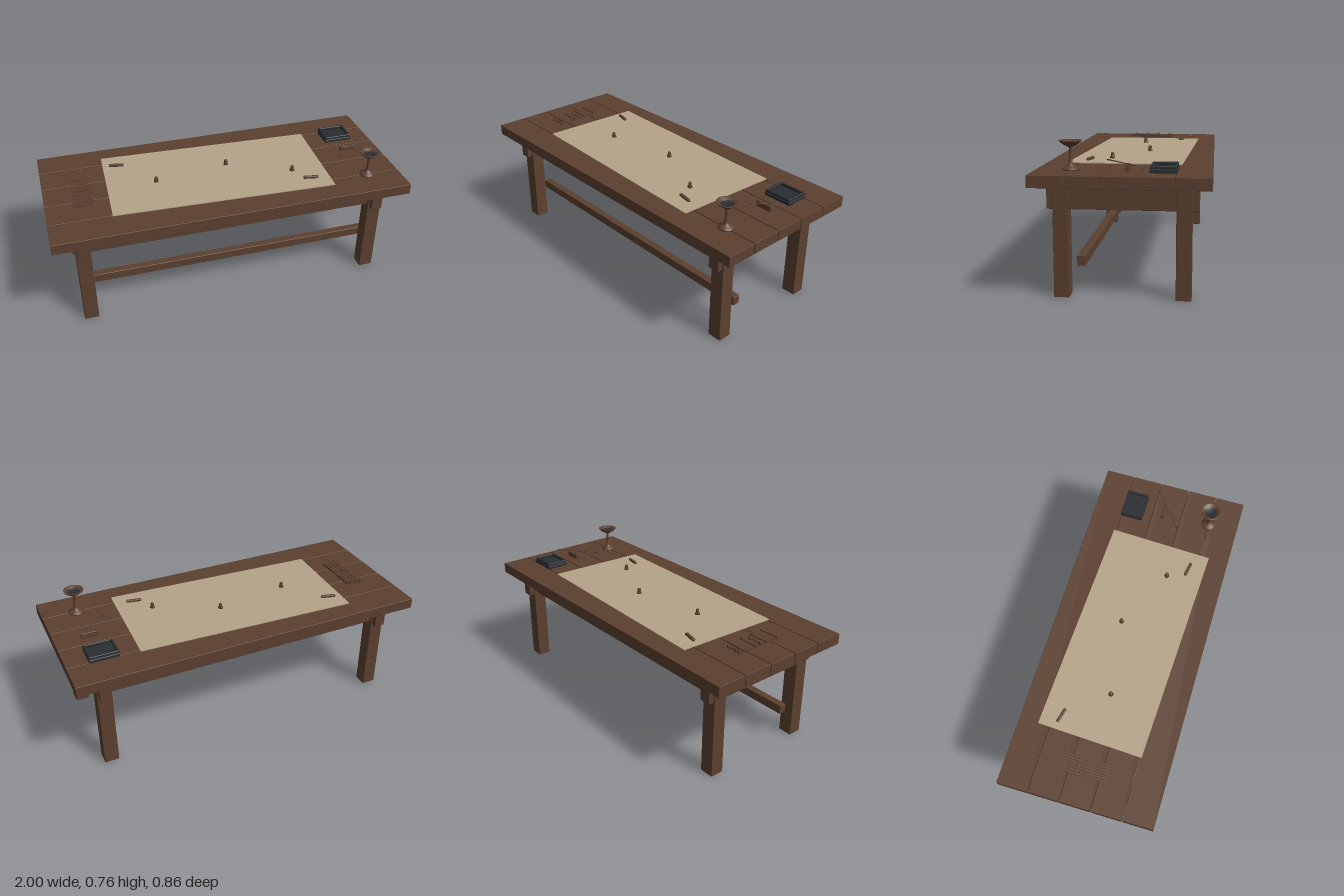
import * as THREE from 'three';
import { RoundedBoxGeometry } from 'three/addons/geometries/RoundedBoxGeometry.js';

const mat = (name, color) => {
  const m = new THREE.MeshStandardMaterial({ color });
  m.name = name;
  return m;
};

export function createModel() {
  const root = new THREE.Group();
  root.name = 'writingTable';
  const wood = mat('brownWood', 0x5c4030);
  const paper = mat('parchment', 0xb5a488);
  const slate = mat('darkSlate', 0x2b2e31);

  const add = (name, geo, material, x = 0, y = 0, z = 0, parent = root) => {
    const m = new THREE.Mesh(geo, material);
    m.name = name;
    m.position.set(x, y, z);
    parent.add(m);
    return m;
  };
  // Box given by its lower and upper corners, with slightly eased edges
  const block = (name, a, b, material = wood, r = 0.003, parent = root) => add(
    name, new RoundedBoxGeometry(b[0] - a[0], b[1] - a[1], b[2] - a[2], 1, r), material,
    (a[0] + b[0]) / 2, (a[1] + b[1]) / 2, (a[2] + b[2]) / 2, parent);
  const group = (name, x, y, z) => {
    const g = new THREE.Group();
    g.name = name;
    g.position.set(x, y, z);
    root.add(g);
    return g;
  };
  const lathe = (pts, n = 24) => new THREE.LatheGeometry(pts.map(p => new THREE.Vector2(...p)), n);

  // Table top of five planks with narrow gaps
  const top = 0.62, pitch = 0.1725, half = 0.084;
  for (let i = -2; i <= 2; i++) {
    block('topPlank', [-1, 0.56, i * pitch - half], [1, top, i * pitch + half], wood, 0.002);
  }

  // Legs, end aprons and long aprons
  for (const s of [-1, 1]) {
    for (const t of [-1, 1]) {
      const leg = block('leg', [-0.04, 0, -0.038], [0.04, 0.56, 0.038]);
      leg.position.x = s * 0.84;
      leg.position.z = t * 0.297;
    }
    const end = block('endApron', [-0.032, 0.438, -0.365], [0.032, 0.56, 0.365]);
    end.position.x = s * 0.84;
    const side = block('longApron', [-0.82, 0.455, -0.02], [0.82, 0.56, 0.02]);
    side.position.z = s * 0.3;
  }
  block('stretcher', [-0.86, 0.157, 0.18], [0.86, 0.207, 0.222]);

  // Parchment sheet lying slightly askew
  const sheet = add('parchmentSheet', new THREE.BoxGeometry(1.247, 0.005, 0.588), paper,
    -0.024, top + 0.0035, -0.003);
  sheet.rotation.y = -0.04;

  // Small turned markers standing on the sheet
  const markerGeo = lathe([[0, 0], [0.0135, 0], [0.0135, 0.009], [0.009, 0.013],
    [0.0095, 0.027], [0.007, 0.031], [0, 0.032]], 12);
  for (const [x, z] of [[-0.37, 0.008], [0.058, -0.06], [0.406, 0.11]]) {
    add('marker', markerGeo, wood, x, 0.625, z);
  }

  // Paperweights at opposite corners
  for (const [x, z, a] of [[-0.56, -0.214, -0.24], [0.48, 0.217, -0.18]]) {
    const w = add('paperweight', new RoundedBoxGeometry(0.085, 0.015, 0.017, 2, 0.005), wood, x, 0.633, z);
    w.rotation.y = a;
  }

  // Two bundles of wooden slips, bound by crosswise ties
  const slips = group('slipBundles', -0.793, top, 0.002);
  for (const s of [-1, 1]) {
    for (let i = 0; i < 7; i++) {
      const slip = add('slip', new THREE.BoxGeometry(0.0115, 0.012, 0.13), wood,
        (i - 3) * 0.0143, 0.009 + (i % 2) * 0.002, s * 0.073 + ((i * 3) % 5 - 2) * 0.003, slips);
      slip.rotation.y = ((i * 5 + s) % 4 - 1.5) * 0.016;
    }
    for (const z of [0.037, 0.115]) {
      const tie = add('tie', new THREE.BoxGeometry(0.115, 0.008, 0.009), wood, 0, 0.018, s * z, slips);
      tie.rotation.y = s * 0.03;
    }
  }

  // Ink tray: floor and raised rim in two tiers
  const tray = group('inkTray', 0.8, top, -0.198);
  block('trayBase', [-0.082, 0, -0.066], [0.082, 0.019, 0.066], slate, 0.004, tray);
  for (const s of [-1, 1]) {
    const longRim = block('trayRim', [-0.08, 0.019, -0.006], [0.08, 0.035, 0.006], slate, 0.004, tray);
    longRim.position.z = s * 0.058;
    const shortRim = block('trayRim', [-0.006, 0.019, -0.062], [0.006, 0.035, 0.062], slate, 0.004, tray);
    shortRim.position.x = s * 0.074;
  }

  // Brush leaning over its rest
  block('brushRest', [0.765, top, -0.03], [0.858, 0.652, -0.013]);
  const from = new THREE.Vector3(0.692, 0.658, 0.1), to = new THREE.Vector3(0.917, 0.659, -0.078);
  const dir = to.clone().sub(from);
  const brush = group('brush', ...from);
  brush.quaternion.setFromUnitVectors(new THREE.Vector3(0, 1, 0), dir.clone().normalize());
  add('brushHandle', new THREE.CylinderGeometry(0.0025, 0.003, dir.length() - 0.03, 8), wood,
    0, dir.length() / 2 + 0.015, 0, brush);
  add('brushTip', lathe([[0, 0], [0.003, 0.01], [0.004, 0.022], [0.003, 0.03]], 8), slate, 0, 0, 0, brush);

  // Stemmed lamp with a shallow dish
  const lamp = group('stemLamp', 0.81, top, 0.256);
  add('lampBody', lathe([[0, 0], [0.042, 0], [0.042, 0.007], [0.03, 0.013], [0.016, 0.022],
    [0.01, 0.033], [0.0075, 0.06], [0.0075, 0.108], [0.014, 0.112], [0.03, 0.12],
    [0.05, 0.134], [0.055, 0.141], [0.055, 0.144], [0.05, 0.144], [0.034, 0.134]]), wood, 0, 0, 0, lamp);
  add('lampDish', lathe([[0.034, 0.134], [0.025, 0.129], [0, 0.126]]), slate, 0, 0, 0, lamp);

  return root;
}
